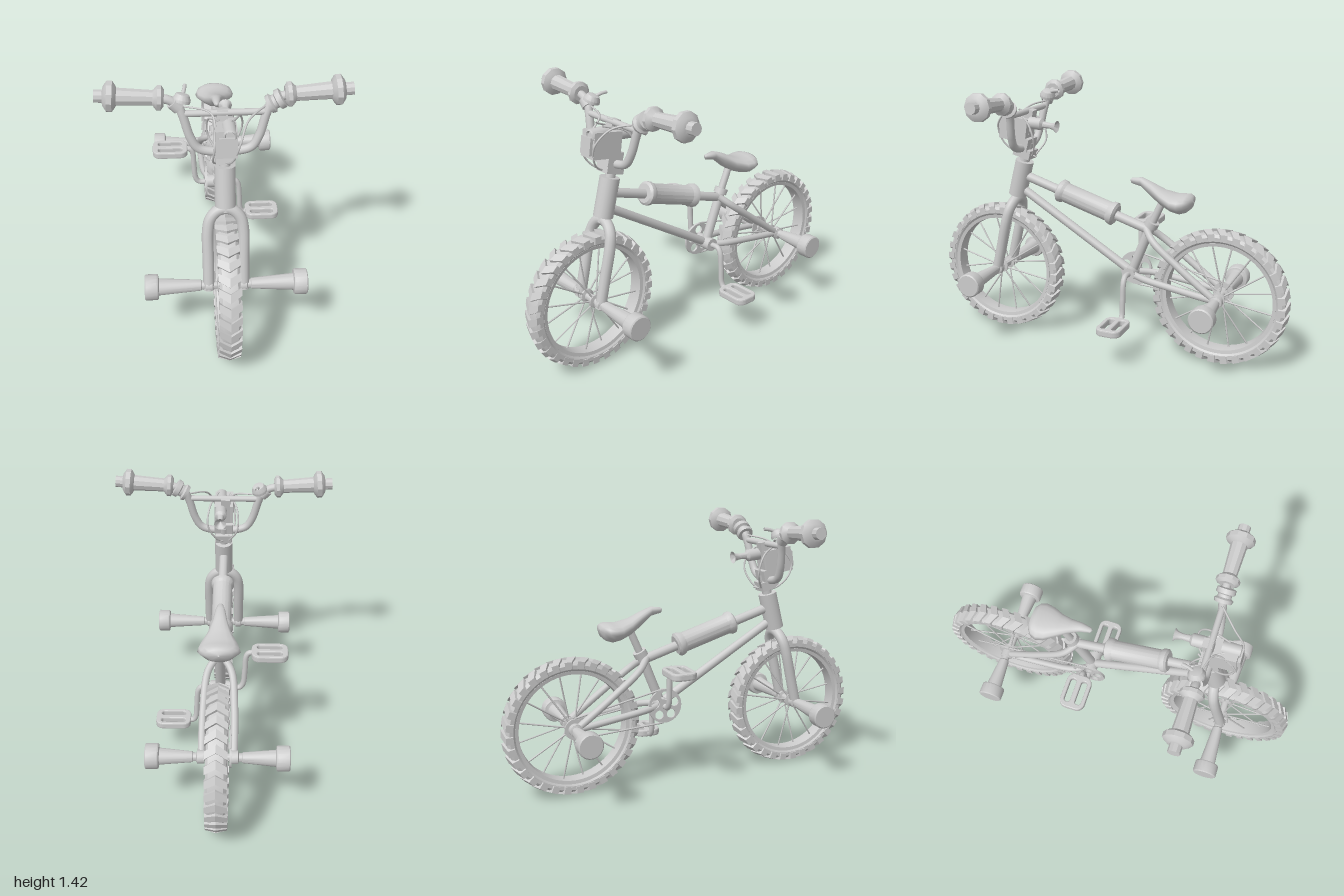
import * as THREE from 'three';
import { mergeGeometries, toCreasedNormals } from 'three/addons/utils/BufferGeometryUtils.js';

const mat = new THREE.MeshStandardMaterial({ color: 0xcccccc, side: THREE.DoubleSide });
const V = (x, y, z) => new THREE.Vector3(x, y, z);
const UP = V(0, 1, 0);
const SIDES = [1, -1];

export function createModel() {
  const root = new THREE.Group();
  root.name = 'bicycle';

  const add = (name, geo, parent = root) => {
    const m = new THREE.Mesh(geo, mat);
    m.name = name;
    parent.add(m);
    return m;
  };
  // Straight round bar between two points
  const rodGeo = (a, b, r1, r2 = r1, n = 12) => {
    const d = b.clone().sub(a);
    const g = new THREE.CylinderGeometry(r2, r1, d.length(), n);
    g.applyQuaternion(new THREE.Quaternion().setFromUnitVectors(UP, d.normalize()));
    const c = a.clone().add(b).multiplyScalar(0.5);
    return g.translate(c.x, c.y, c.z);
  };
  const rod = (name, a, b, r1, r2, n) => add(name, rodGeo(a, b, r1, r2, n));
  // Bent bar through points
  const tube = (name, pts, r, n = 10, seg = 36) => add(name, new THREE.TubeGeometry(
    new THREE.CatmullRomCurve3(pts.map(p => V(...p)), false, 'centripetal'), seg, r, n));
  // Turned part: profile of [radius, distance] starting at a, along dir
  const turned = (name, profile, a, dir, n = 16, parent = root) => {
    const g = new THREE.LatheGeometry(profile.map(p => new THREE.Vector2(...p)), n);
    const m = add(name, toCreasedNormals(g, 0.6), parent);
    m.quaternion.setFromUnitVectors(UP, dir.clone().normalize());
    m.position.copy(a);
    return m;
  };
  const box = (name, w, h, d, x, y, z, tilt = 0) => {
    const m = add(name, new THREE.BoxGeometry(w, h, d));
    m.position.set(x, y, z);
    m.rotation.x = tilt;
    return m;
  };

  // Wheels: tyre, rim, chevron lugs, hub, spokes
  const wheel = (name, z) => {
    const w = new THREE.Group();
    w.name = name;
    w.position.set(0, 0.368, z);
    root.add(w);
    const X = V(1, 0, 0), O = V(0, 0, 0);
    turned('tyre', [[0.296, -0.036], [0.31, -0.047], [0.33, -0.048], [0.344, -0.036], [0.35, 0],
      [0.344, 0.036], [0.33, 0.048], [0.31, 0.047], [0.296, 0.036]], O, X, 64, w);
    turned('rim', [[0.282, -0.038], [0.3, -0.041], [0.3, 0.041], [0.282, 0.038], [0.278, 0], [0.282, -0.038]], O, X, 64, w);
    turned('hub', [[0, -0.075], [0.018, -0.075], [0.018, -0.045], [0.036, -0.042], [0.036, -0.032], [0.02, -0.028],
      [0.02, 0.028], [0.036, 0.032], [0.036, 0.042], [0.018, 0.045], [0.018, 0.075], [0, 0.075]], O, X, 16, w);
    const chevron = new THREE.Shape([[0, -0.03], [0.053, 0.004], [0.053, 0.04], [0, 0.012], [-0.053, 0.04], [-0.053, 0.004]]
      .map(p => new THREE.Vector2(...p)));
    const lug = new THREE.ExtrudeGeometry(chevron, { depth: 0.05, bevelEnabled: false });
    const p = lug.attributes.position;
    for (let i = 0; i < p.count; i++) // round the shoulders down
      p.setZ(i, p.getZ(i) > 0.01 ? 0.364 - Math.abs(p.getX(i)) * 0.28 : 0.312);
    lug.computeVertexNormals();
    const lugs = [], spokes = [];
    for (let i = 0; i < 32; i++) lugs.push(lug.clone().rotateX(i / 32 * Math.PI * 2));
    for (let i = 0; i < 16; i++) {
      const a = (i + 0.5) / 16 * Math.PI * 2, s = i % 2 ? 1 : -1;
      spokes.push(rodGeo(V(s * 0.036, 0.025 * Math.cos(a), 0.025 * Math.sin(a)),
        V(s * 0.008, 0.283 * Math.cos(a), 0.283 * Math.sin(a)), 0.0045, 0.0045, 6));
    }
    add('treadLugs', mergeGeometries(lugs), w);
    add('spokes', mergeGeometries(spokes), w);
  };
  wheel('frontWheel', 0.638);
  wheel('rearWheel', -0.63);

  // Axle pegs with wide caps
  for (const s of SIDES) for (const [name, z, end] of [['frontPeg', 0.638, 0.4], ['rearPeg', -0.635, 0.355]]) {
    const e = end - 0.07;
    turned(name, [[0, 0], [0.032, 0], [0.032, 0.03], [0.022, 0.034], [0.022, 0.05], [0.027, 0.055],
      [0.042, e - 0.07], [0.046, e - 0.068], [0.06, e - 0.066], [0.064, e - 0.06], [0.064, e - 0.005], [0.058, e], [0, e]],
      V(s * 0.07, 0.37, z), V(s, 0, 0), 18);
  }

  // Fork, head tube and steerer
  tube('fork', [[-0.086, 0.35, 0.645], [-0.086, 0.5, 0.61], [-0.086, 0.66, 0.573], [-0.073, 0.722, 0.558], [-0.04, 0.76, 0.548], [0, 0.772, 0.545],
    [0.04, 0.76, 0.548], [0.073, 0.722, 0.558], [0.086, 0.66, 0.573], [0.086, 0.5, 0.61], [0.086, 0.35, 0.645]], 0.028, 12, 60);
  rod('headTube', V(0, 0.79, 0.545), V(0, 0.985, 0.495), 0.05, 0.05, 20);
  rod('steerer', V(0, 0.76, 0.55), V(0, 1.09, 0.468), 0.026);

  // Frame tubes
  const bb = V(0, 0.435, -0.14), seatNode = V(0, 0.68, -0.235);
  rod('topTube', V(0, 0.905, 0.5), seatNode, 0.025);
  rod('downTube', V(0, 0.835, 0.525), bb, 0.023);
  rod('seatTube', bb, V(0, 0.72, -0.252), 0.026);
  rod('seatPost', V(0, 0.68, -0.236), V(0, 0.85, -0.31), 0.02);
  rod('seatClamp', V(0, 0.7, -0.243), V(0, 0.728, -0.257), 0.037);
  rod('bottomBracket', V(-0.055, 0.435, -0.14), V(0.055, 0.435, -0.14), 0.036, 0.036, 16);
  for (const s of SIDES) {
    tube('chainStay', [[s * 0.02, 0.432, -0.14], [s * 0.065, 0.424, -0.24], [s * 0.078, 0.4, -0.42], [s * 0.08, 0.37, -0.63]], 0.018);
    tube('seatStay', [[s * 0.012, 0.69, -0.22], [s * 0.06, 0.635, -0.28], [s * 0.078, 0.52, -0.43], [s * 0.08, 0.37, -0.63]], 0.019);
    rod('dropout', V(s * 0.065, 0.37, -0.632), V(s * 0.1, 0.37, -0.632), 0.034);
  }
  turned('topTubePad', [[0, 0], [0.05, 0], [0.062, 0.01], [0.062, 0.03], [0.053, 0.045], [0.053, 0.305],
    [0.062, 0.32], [0.064, 0.342], [0.05, 0.352], [0, 0.352]], V(0, 0.843, 0.287), V(0, -0.225, -0.735), 18);

  // Saddle: rings of [z, half width, top, bottom]
  const rings = [[-0.128, 0.003, 0.942, 0.936], [-0.135, 0.014, 0.95, 0.922], [-0.19, 0.026, 0.958, 0.91], [-0.25, 0.04, 0.935, 0.86],
    [-0.31, 0.065, 0.905, 0.82], [-0.37, 0.097, 0.888, 0.797], [-0.41, 0.106, 0.89, 0.79], [-0.44, 0.095, 0.892, 0.8],
    [-0.462, 0.065, 0.885, 0.82], [-0.47, 0.004, 0.86, 0.85]];
  const N = 16, pos = [], idx = [];
  rings.forEach(([z, w, t, b], j) => {
    for (let i = 0; i < N; i++) {
      const a = i / N * Math.PI * 2, c = Math.cos(a), s = Math.sin(a);
      pos.push(w * c * (s < -0.1 ? 0.8 : 1), (t + b) / 2 + (t - b) / 2 * Math.sign(s) * Math.abs(s) ** 0.8, z);
      if (j) {
        const p = (j - 1) * N + i, q = (j - 1) * N + (i + 1) % N;
        idx.push(p, p + N, q, q, p + N, q + N);
      }
    }
  });
  const saddle = new THREE.BufferGeometry();
  saddle.setAttribute('position', new THREE.Float32BufferAttribute(pos, 3));
  saddle.setIndex(idx);
  saddle.computeVertexNormals();
  add('saddle', saddle);

  // Chainring with round windows, rear sprocket and chain
  const ring = new THREE.Shape().absarc(0, 0, 0.092, 0, Math.PI * 2);
  for (let i = 0; i < 5; i++) {
    const a = i / 5 * Math.PI * 2 + 0.3;
    ring.holes.push(new THREE.Path().absarc(0.056 * Math.cos(a), 0.056 * Math.sin(a), 0.024, 0, Math.PI * 2, true));
  }
  const chainring = add('chainring', new THREE.ExtrudeGeometry(ring, { depth: 0.012, bevelEnabled: false, curveSegments: 24 }));
  chainring.rotation.y = Math.PI / 2;
  chainring.position.set(-0.069, 0.435, -0.14);
  rod('sprocket', V(-0.068, 0.37, -0.63), V(-0.058, 0.37, -0.63), 0.055, 0.055, 20);
  for (const s of SIDES)
    rod('chainRun', V(-0.063, 0.435 + s * 0.092, -0.15), V(-0.063, 0.37 + s * 0.055, -0.632), 0.005, 0.005, 6);

  // Cranks and slotted pedals, left one down, right one up
  const rounded = (P, x, y, w, h, r) => {
    const s = new P();
    s.absarc(x + w - r, y + r, r, -Math.PI / 2, 0);
    s.absarc(x + w - r, y + h - r, r, 0, Math.PI / 2);
    s.absarc(x + r, y + h - r, r, Math.PI / 2, Math.PI);
    s.absarc(x + r, y + r, r, Math.PI, Math.PI * 1.5);
    s.closePath();
    return s;
  };
  for (const s of SIDES) {
    const y = 0.435 - s * 0.222;
    tube('crankArm', [[s * 0.04, 0.435, -0.14], [s * 0.1, 0.435, -0.14], [s * 0.119, 0.435 - s * 0.025, -0.14], [s * 0.128, 0.435 - s * 0.11, -0.14],
      [s * 0.135, 0.435 - s * 0.2, -0.14], [s * 0.15, y, -0.14], [s * 0.19, y, -0.14]], 0.015);
    const plate = rounded(THREE.Shape, -0.095, -0.068, 0.19, 0.136, 0.042);
    for (const k of [-0.046, 0.014]) plate.holes.push(rounded(THREE.Path, -0.065, k, 0.13, 0.032, 0.014));
    const pedal = add('pedal', new THREE.ExtrudeGeometry(plate,
      { depth: 0.02, bevelThickness: 0.008, bevelSize: 0.005, bevelOffset: -0.005, bevelSegments: 2, curveSegments: 6 }));
    pedal.rotation.x = -Math.PI / 2;
    pedal.position.set(s * 0.257, y - 0.01, -0.14);
    rod('pedalAxle', V(s * 0.15, y, -0.14), V(s * 0.34, y, -0.14), 0.011);
  }

  // Handlebar with crossbar and flanged grips
  const half = [[0.07, 1.065, 0.488], [0.125, 1.085, 0.488], [0.158, 1.14, 0.482], [0.19, 1.25, 0.468], [0.21, 1.295, 0.46], [0.25, 1.325, 0.456], [0.32, 1.337, 0.455]];
  tube('handlebar', [...half.map(([x, y, z]) => [-x, y, z]).reverse(), ...half], 0.021, 12, 80);
  rod('crossbar', V(-0.188, 1.258, 0.468), V(0.188, 1.258, 0.468), 0.016);
  for (const s of SIDES) {
    turned('grip', [[0, 0], [0.04, 0], [0.058, 0.012], [0.058, 0.03], [0.04, 0.045], [0.035, 0.05], [0.041, 0.21], [0.052, 0.215],
      [0.071, 0.228], [0.071, 0.252], [0.045, 0.27], [0.03, 0.272], [0.03, 0.31], [0, 0.31]],
      V(s * 0.272, 1.335, 0.455), V(s, 0.07, 0), 10);
  }

  // Shifter collar on the left, bell with thumb lever on the right
  turned('shifter', [[0.024, 0], [0.042, 0], [0.047, 0.018], [0.034, 0.026], [0.034, 0.04], [0.047, 0.046], [0.047, 0.07], [0.024, 0.075]],
    V(0.2, 1.288, 0.462), V(0.075, 0.045, 0), 12);
  rod('bellClamp', V(-0.205, 1.285, 0.46), V(-0.235, 1.315, 0.458), 0.032);
  turned('bell', [[0, 0], [0.042, 0], [0.042, 0.014], [0.03, 0.036], [0, 0.044]], V(-0.195, 1.31, 0.45), V(0.25, 0.85, -0.25));
  tube('bellLever', [[-0.19, 1.33, 0.44], [-0.18, 1.345, 0.405], [-0.175, 1.35, 0.37]], 0.009, 8, 10);

  // Stem, bar clamp, front pad and horn
  box('stemCollar', 0.09, 0.05, 0.1, 0, 1.035, 0.49, -0.26);
  box('barClamp', 0.1, 0.075, 0.085, 0, 1.085, 0.492, -0.26);
  box('frontPad', 0.1, 0.13, 0.16, 0, 1.165, 0.535, -0.15);
  box('frontPadCover', 0.075, 0.085, 0.06, 0, 1.17, 0.6, -0.15);
  box('padStrap', 0.05, 0.2, 0.05, -0.01, 1.17, 0.475, -0.22);
  turned('lamp', [[0, 0], [0.032, 0], [0.032, 0.09], [0.024, 0.095], [0.018, 0.085], [0, 0.085]], V(0.015, 1.222, 0.52), V(0, 0, 1));
  turned('horn', [[0, 0], [0.032, 0], [0.032, 0.07], [0.018, 0.082], [0.015, 0.12], [0.02, 0.145], [0.032, 0.16], [0.02, 0.15], [0, 0.13]],
    V(0.015, 1.2, 0.448), V(0, -0.08, -1));

  // Looping control cables
  tube('cable', [[0.2, 1.29, 0.45], [0.1, 1.26, 0.55], [0.06, 1.18, 0.62], [0.03, 1.08, 0.6], [0, 1.03, 0.53], [-0.03, 1.05, 0.44]], 0.005, 6);
  tube('cable', [[-0.2, 1.29, 0.45], [-0.06, 1.27, 0.5], [-0.055, 1.15, 0.61], [-0.06, 1.07, 0.58], [-0.03, 1.01, 0.5], [0.02, 1.02, 0.42]], 0.005, 6);
  tube('cable', [[0.03, 1.26, 0.55], [0.075, 1.22, 0.44], [0.085, 1.13, 0.395], [0.04, 1.04, 0.42], [0, 1.0, 0.47]], 0.005, 6);
  tube('cable', [[-0.03, 1.26, 0.54], [-0.075, 1.2, 0.43], [-0.075, 1.1, 0.4], [-0.03, 1.02, 0.44]], 0.005, 6);

  return root;
}
